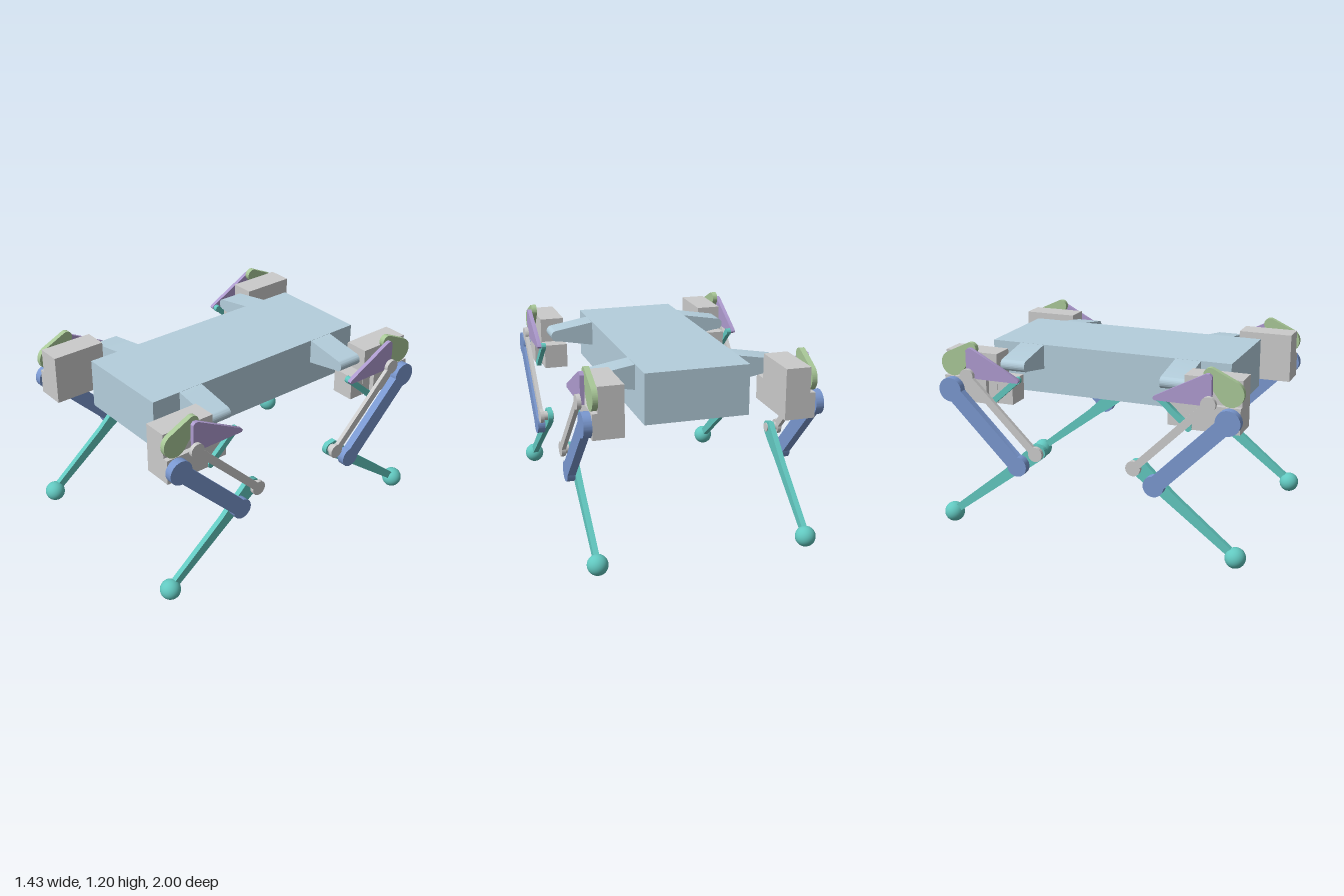
import * as THREE from 'three';
import { toCreasedNormals } from 'three/addons/utils/BufferGeometryUtils.js';

const mat = (color) => new THREE.MeshStandardMaterial({ color });
const grey = mat(0xcccccc), pale = mat(0xb4cedc), blue = mat(0x7a98d0);
const green = mat(0xa9c898), purple = mat(0xae9bcf), teal = mat(0x62c8c0);

function add(parent, name, geometry, material) {
  const mesh = new THREE.Mesh(geometry, material);
  mesh.name = name;
  parent.add(mesh);
  return mesh;
}

// Box given by its lower and upper limits
function box(x0, x1, y0, y1, z0, z1) {
  return new THREE.BoxGeometry(x1 - x0, y1 - y0, z1 - z0)
    .translate((x0 + x1) / 2, (y0 + y1) / 2, (z0 + z1) / 2);
}

// Plate drawn in (z, y) and extruded between two x positions
function plate(shape, x0, x1) {
  const g = new THREE.ExtrudeGeometry(shape, { depth: x1 - x0, bevelEnabled: false, curveSegments: 24 });
  g.rotateY(-Math.PI / 2).translate(x1, 0, 0);
  return toCreasedNormals(g, 0.6);
}

// Bar with two round ends [z, y, radius]; w is the bar's half width,
// without it the sides run tangent from end to end
function linkShape([az, ay, ar], [bz, by, br], w) {
  const dir = Math.atan2(by - ay, bz - az);
  const tangent = Math.acos((ar - br) / Math.hypot(bz - az, by - ay));
  const a = w ? Math.asin(w / ar) : tangent;
  const b = w ? Math.PI - Math.asin(w / br) : tangent;
  const s = new THREE.Shape();
  s.absarc(az, ay, ar, dir + a, dir + 2 * Math.PI - a, false);
  s.absarc(bz, by, br, dir - b, dir + b, false);
  s.closePath();
  return s;
}

const polygon = (points) => new THREE.Shape(points.map(([u, v]) => new THREE.Vector2(u, v)));

function pin(z, y, r, x0, x1) {
  return new THREE.CylinderGeometry(r, r, x1 - x0, 24)
    .rotateZ(Math.PI / 2).translate((x0 + x1) / 2, y, z);
}

// One leg at the model's front left; the others are mirrored
function createLeg() {
  const leg = new THREE.Group();

  // Tapered shoulder arm with a rounded end
  const arm = new THREE.Shape();
  arm.moveTo(0.31, 0.98);
  arm.lineTo(0.32, 0.98);
  arm.lineTo(0.553, 1.022);
  arm.absarc(0.56, 1.057, 0.036, -Math.PI / 2, Math.PI / 2, false);
  arm.lineTo(0.32, 1.134);
  arm.lineTo(0.31, 1.134);
  const armGeo = new THREE.ExtrudeGeometry(arm, { depth: 0.16, bevelEnabled: false, curveSegments: 24 });
  add(leg, 'shoulderArm', toCreasedNormals(armGeo.translate(0, 0, 0.435), 0.6), pale);

  // Motor housing with inner step and outer ledge
  const motor = new THREE.Group();
  motor.name = 'motorHousing';
  leg.add(motor);
  add(motor, 'motorBox', box(0.48, 0.633, 0.825, 1.135, 0.6, 0.945), grey);
  add(motor, 'motorStep', box(0.48, 0.63, 0.825, 0.98, 0.5, 0.6), grey);
  add(motor, 'motorLedge', box(0.633, 0.666, 0.825, 0.98, 0.66, 0.945), grey);

  // Linkage
  add(leg, 'crank', plate(linkShape([0.885, 1.06, 0.078], [0.762, 1.16, 0.04]), 0.633, 0.666), green);
  const rocker = polygon([[0.78, 0.983], [0.78, 1.155], [0.765, 1.17], [0.745, 1.17],
    [0.435, 1.007], [0.428, 0.995], [0.437, 0.983]]);
  add(leg, 'rockerPlate', plate(rocker, 0.666, 0.692), purple);
  add(leg, 'shortLink', plate(linkShape([0.455, 0.99, 0.022], [0.635, 0.83, 0.022], 0.018), 0.635, 0.664), teal);
  add(leg, 'pushRod', plate(linkShape([0.768, 1.0, 0.045], [0.318, 0.555, 0.046], 0.024), 0.692, 0.717), grey);

  // Thigh
  add(leg, 'thigh', plate(linkShape([0.885, 0.903, 0.075], [0.445, 0.46, 0.064], 0.05), 0.668, 0.717), blue);

  // Shank: a broad knee tapering to the ankle
  const shank = new THREE.Shape();
  shank.absarc(0.32, 0.55, 0.046, 2.1, 4.0, false);
  shank.quadraticCurveTo(0.37, 0.45, 0.46, 0.395);
  shank.lineTo(0.925, 0.05);
  shank.lineTo(0.95, 0.088);
  shank.lineTo(0.56, 0.405);
  shank.quadraticCurveTo(0.46, 0.5, 0.355, 0.598);
  add(leg, 'shank', plate(shank, 0.632, 0.666), teal);
  add(leg, 'foot', new THREE.SphereGeometry(0.063, 32, 20).translate(0.648, 0.063, 0.937), teal);

  // Joint pins
  add(leg, 'rodPin', pin(0.318, 0.555, 0.03, 0.626, 0.7), grey);
  add(leg, 'kneePin', pin(0.445, 0.46, 0.03, 0.64, 0.69), grey);
  return leg;
}

export function createModel() {
  const model = new THREE.Group();
  model.name = 'fourLeggedRobot';
  add(model, 'body', box(-0.32, 0.32, 0.825, 1.135, -0.785, 0.785), pale);
  for (const sz of [1, -1]) {
    for (const sx of [1, -1]) {
      const leg = createLeg();
      leg.name = (sz > 0 ? 'front' : 'back') + (sx > 0 ? 'Left' : 'Right') + 'Leg';
      leg.scale.set(sx, 1, sz);
      model.add(leg);
    }
  }
  return model;
}
